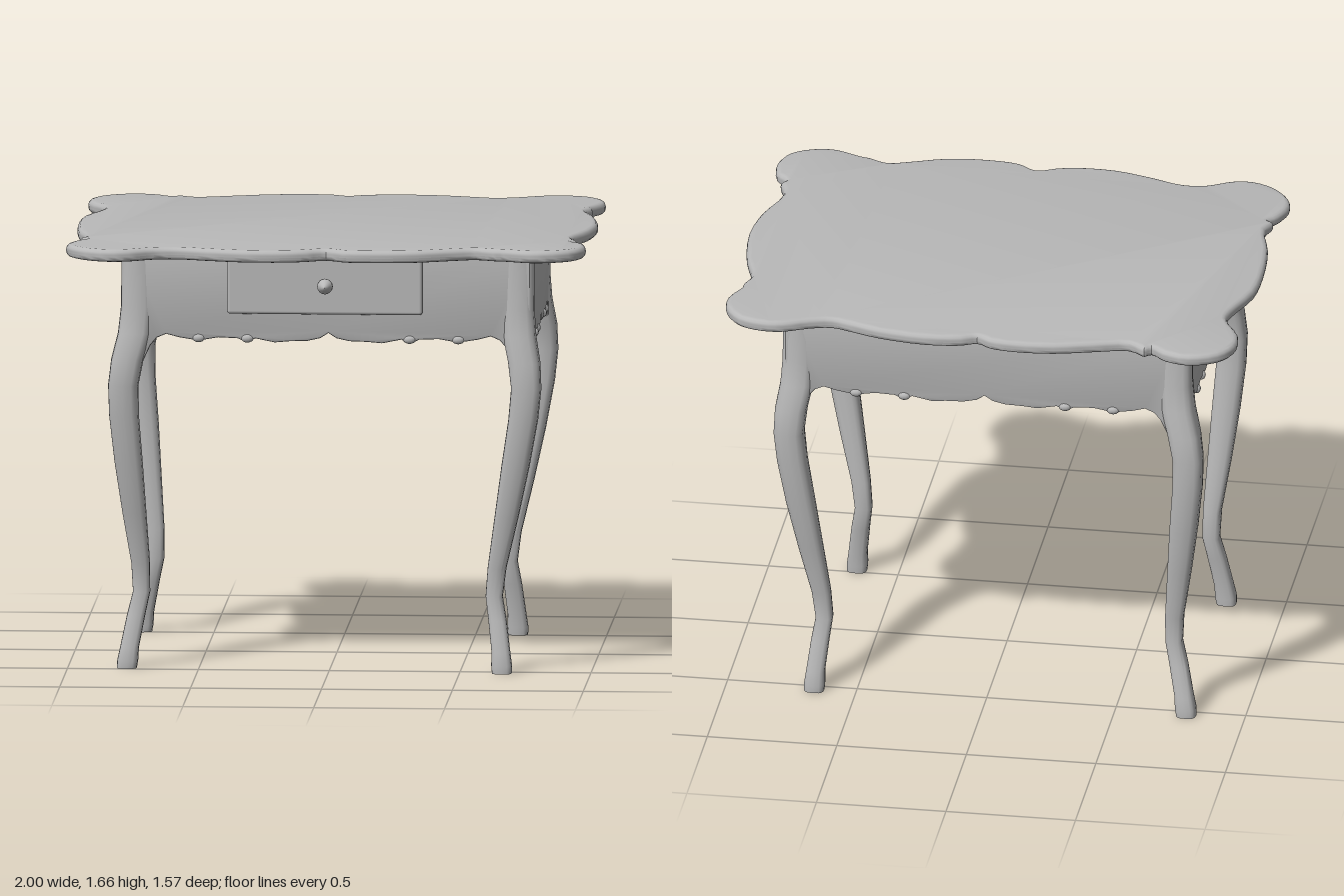
import * as THREE from 'three';
import { toCreasedNormals } from 'three/addons/utils/BufferGeometryUtils.js';
import { RoundedBoxGeometry } from 'three/addons/geometries/RoundedBoxGeometry.js';

export function createModel() {
  const table = new THREE.Group();
  table.name = 'sideTable';
  const wood = new THREE.MeshStandardMaterial({ color: 0xb8b8b8 });
  wood.name = 'greyWood';

  const add = (name, geometry, x = 0, y = 0, z = 0, parent = table) => {
    const mesh = new THREE.Mesh(geometry, wood);
    mesh.name = name;
    mesh.position.set(x, y, z);
    parent.add(mesh);
    return mesh;
  };

  // Table top: scalloped outline in [x, z], side by side
  const back = [[-0.98, -0.56], [-0.98, -0.66], [-0.93, -0.74], [-0.82, -0.785], [-0.72, -0.76], [-0.67, -0.72],
    [-0.645, -0.74], [-0.58, -0.7], [-0.45, -0.73], [-0.3, -0.77], [-0.15, -0.78], [-0.05, -0.765], [0, -0.735],
    [0.06, -0.76], [0.2, -0.775], [0.38, -0.75], [0.5, -0.71], [0.57, -0.69], [0.65, -0.71], [0.75, -0.755],
    [0.83, -0.76], [0.92, -0.73], [0.98, -0.65]];
  const left = [[0.99, -0.56], [0.95, -0.46], [0.95, -0.43], [0.93, -0.37], [0.97, -0.22], [0.997, 0],
    [0.975, 0.18], [0.92, 0.36], [0.945, 0.45], [0.93, 0.475]];
  const front = [[0.97, 0.52], [0.985, 0.62], [0.95, 0.71], [0.87, 0.76], [0.78, 0.77], [0.68, 0.73], [0.64, 0.72],
    [0.57, 0.69], [0.5, 0.71], [0.35, 0.765], [0.2, 0.78], [0.07, 0.765], [0, 0.72], [-0.07, 0.75], [-0.15, 0.77],
    [-0.3, 0.77], [-0.45, 0.73], [-0.57, 0.69], [-0.66, 0.7], [-0.75, 0.75], [-0.83, 0.76], [-0.92, 0.72],
    [-0.985, 0.64]];
  const right = [[-1, 0.57], [-0.97, 0.48], [-0.94, 0.44], [-0.96, 0.425], [-0.94, 0.36], [-0.975, 0.2],
    [-0.99, 0], [-0.98, -0.18], [-0.92, -0.36], [-0.915, -0.43]];
  const outline = [...back, ...left, ...front, ...right].map(([x, z]) => new THREE.Vector3(x, -z, 0));
  const curve = new THREE.CatmullRomCurve3(outline, true, 'centripetal');
  const edge = curve.getPoints(outline.length * 3).slice(0, -1).map(p => new THREE.Vector2(p.x, p.y));
  const topGeo = new THREE.ExtrudeGeometry(new THREE.Shape(edge), {
    depth: 0.008, bevelThickness: 0.02, bevelSize: 0.02, bevelOffset: -0.02, bevelSegments: 3,
  });
  topGeo.rotateX(-Math.PI / 2);
  add('tableTop', toCreasedNormals(topGeo, 0.6), 0, 1.627, 0).rotation.z = 0.006;

  // Apron panels: carved lower edge that sweeps down into the legs
  const scallops = [[0, 1.308], [0.05, 1.288], [0.13, 1.277], [0.24, 1.275], [0.33, 1.27], [0.45, 1.285],
    [0.5, 1.268], [0.56, 1.285], [0.68, 1.288], [0.8, 1.275], [0.92, 1.287]];
  const apron = (name, half, inner, distance, turn) => {
    const side = [...scallops.map(([t, y]) => [t * inner, y]), [inner, 1.3], [inner + 0.035, 1.285],
      [inner + 0.06, 1.255], [inner + 0.09, 1.19], [inner + 0.115, 1.12], [half, 1.12], [half, 1.62]];
    const mirrored = side.slice(1).reverse().map(([x, y]) => [-x, y]);
    const shape = new THREE.Shape([...mirrored, ...side].map(p => new THREE.Vector2(...p)));
    const geo = new THREE.ExtrudeGeometry(shape, {
      depth: 0.026, bevelThickness: 0.007, bevelSize: 0.007, bevelOffset: -0.007, bevelSegments: 2,
    });
    const group = new THREE.Group();
    group.name = name;
    group.rotation.y = turn;
    table.add(group);
    add('panel', toCreasedNormals(geo, 0.6), 0, 0, distance - 0.033, group);
    // Small scrolls along the carved edge
    for (const s of [-1, 1]) for (const t of [0.5, 0.8]) {
      const scroll = new THREE.SphereGeometry(0.02, 10, 8);
      scroll.scale(1.2, 0.8, 0.7);
      add('scroll', scroll, s * t * inner, 1.285, distance - 0.004, group);
    }
  };
  apron('frontApron', 0.77, 0.62, 0.558, 0);
  apron('backApron', 0.77, 0.62, 0.56, Math.PI);
  apron('leftApron', 0.53, 0.4, 0.78, Math.PI / 2);
  apron('rightApron', 0.53, 0.4, 0.788, -Math.PI / 2);

  // Curved legs: rounded square sections [y, outward x, outward z, half width]
  const sections = [[0, 0.718, 0.526, 0.038], [0.03, 0.716, 0.525, 0.04], [0.08, 0.711, 0.519, 0.036],
    [0.2, 0.692, 0.496, 0.035], [0.29, 0.675, 0.48, 0.033], [0.4, 0.682, 0.485, 0.036], [0.6, 0.712, 0.508, 0.046],
    [0.8, 0.74, 0.53, 0.054], [0.98, 0.763, 0.542, 0.057], [1.1, 0.77, 0.546, 0.058], [1.2, 0.758, 0.538, 0.062],
    [1.3, 0.735, 0.515, 0.064], [1.4, 0.728, 0.503, 0.062], [1.62, 0.728, 0.5, 0.06]];
  const sides = 16;
  const leg = (name, sx, sz) => {
    const pos = [], index = [];
    const soft = v => Math.sign(v) * Math.abs(v) ** 0.62;
    for (const [y, ox, oz, r] of sections) {
      const fade = Math.max(0, 1 - y / 1.35);
      const cx = sx * ox - 0.052 * fade - 0.005;
      const cz = sz * oz - (sx < 0 && sz > 0 ? 0.065 * fade : 0);
      for (let i = 0; i < sides; i++) {
        const a = (i / sides) * Math.PI * 2;
        pos.push(cx + r * soft(Math.cos(a)), y, cz + r * soft(Math.sin(a)));
      }
    }
    const last = (sections.length - 1) * sides;
    for (let j = 0; j < last; j += sides) {
      for (let i = 0; i < sides; i++) {
        const k = (i + 1) % sides;
        index.push(j + i, j + sides + i, j + k, j + k, j + sides + i, j + sides + k);
      }
    }
    // End caps
    for (let i = 1; i < sides - 1; i++) index.push(0, i, i + 1, last, last + i + 1, last + i);
    const geo = new THREE.BufferGeometry();
    geo.setAttribute('position', new THREE.Float32BufferAttribute(pos, 3));
    geo.setIndex(index);
    add(name, toCreasedNormals(geo, 0.8));
  };
  leg('frontLeftLeg', 1, 1);
  leg('frontRightLeg', -1, 1);
  leg('backLeftLeg', 1, -1);
  leg('backRightLeg', -1, -1);

  // Drawer with a turned knob
  const drawer = new THREE.Group();
  drawer.name = 'drawer';
  drawer.position.x = -0.012;
  table.add(drawer);
  add('drawerFront', new RoundedBoxGeometry(0.745, 0.222, 0.05, 2, 0.012), 0, 1.494, 0.564, drawer);
  add('drawerBottom', new THREE.BoxGeometry(0.68, 0.015, 0.88), 0, 1.415, 0.09, drawer);
  add('drawerBack', new THREE.BoxGeometry(0.7, 0.17, 0.02), 0, 1.485, -0.35, drawer);
  for (const s of [-1, 1]) add('drawerSide', new THREE.BoxGeometry(0.02, 0.17, 0.88), s * 0.345, 1.485, 0.09, drawer);
  const knobProfile = [[0, 0], [0.018, 0], [0.012, 0.012], [0.012, 0.025], [0.03, 0.034], [0.029, 0.045],
    [0.018, 0.058], [0.012, 0.072], [0, 0.078]].map(p => new THREE.Vector2(...p));
  const knob = new THREE.LatheGeometry(knobProfile, 16);
  knob.rotateX(Math.PI / 2);
  add('knob', knob, 0.003, 1.497, 0.587, drawer);

  // Runners beneath the drawer and the rail that carries them
  for (const s of [-1, 1]) add('runner', new THREE.BoxGeometry(0.06, 0.045, 1.04), s * 0.375, 1.375, 0.005);
  add('frontRail', new THREE.BoxGeometry(1.4, 0.04, 0.05), 0, 1.36, 0.51);
  add('backRail', new THREE.BoxGeometry(1.4, 0.04, 0.05), 0, 1.36, -0.51);

  return table;
}
